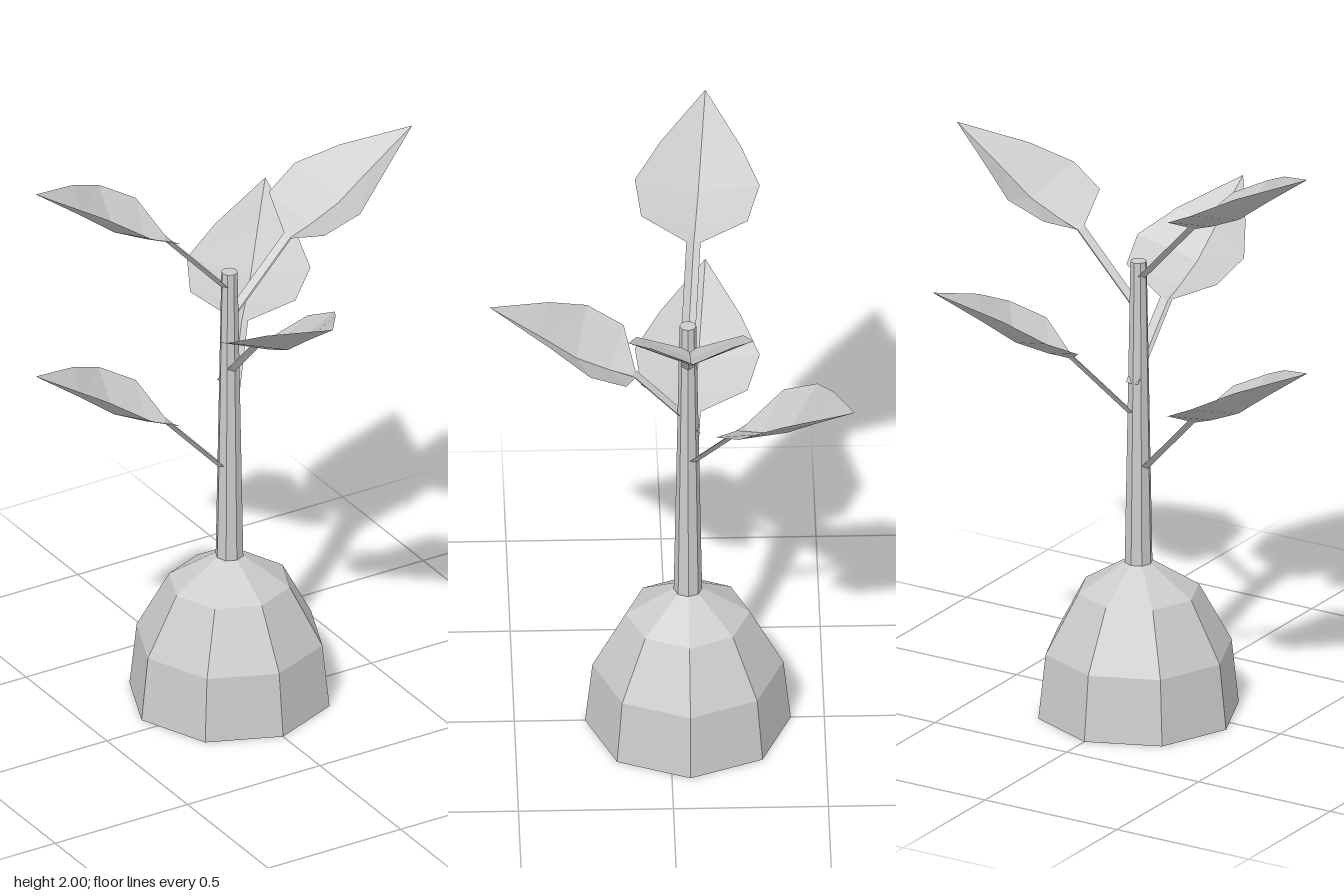
import * as THREE from 'three';

const AXIS_Z = -0.06;

function material(side = THREE.FrontSide) {
  return new THREE.MeshStandardMaterial({ color: 0xcccccc, flatShading: true, side });
}

// Folded leaf running out along +z, heights measured down from the tip.
// Each row: midrib distance, midrib height, edge distance, edge height, half width.
function leafGeometry() {
  const rows = [
    [0.02, -0.505, 0.01, -0.495, 0.023], // stalk, inside the stem
    [0.23, -0.28, 0.22, -0.27, 0.023],   // foot of the blade
    [0.30, -0.255, 0.253, -0.20, 0.172],
    [0.41, -0.205, 0.37, -0.14, 0.202],
    [0.53, -0.115, 0.495, -0.075, 0.13],
    [0.69, 0, 0.69, 0, 0],               // tip
  ];
  const positions = [];
  const index = [];
  rows.forEach(([md, my, ed, ey, w], i) => {
    positions.push(-w, ey, ed, 0, my, md, w, ey, ed);
    if (i === rows.length - 1) return;
    for (let k = 0; k < 2; k++) {
      const a = i * 3 + k, b = a + 1, c = a + 3, d = a + 4;
      if (i === rows.length - 2) {
        index.push(a, 3 * (i + 1) + 1, b); // close to a single point
      } else if (k === 0) {
        index.push(a, c, d, a, d, b);
      } else {
        index.push(a, c, b, b, c, d);
      }
    }
  });
  const geometry = new THREE.BufferGeometry();
  geometry.setAttribute('position', new THREE.Float32BufferAttribute(positions, 3));
  geometry.setIndex(index);
  geometry.computeVertexNormals();
  return geometry;
}

export function createModel() {
  const model = new THREE.Group();
  model.name = 'sapling';

  // Faceted mound of soil
  const profile = [[0, 0], [0.332, 0], [0.308, 0.22], [0.2, 0.42], [0.05, 0.515], [0, 0.515]];
  const mound = new THREE.Mesh(
    new THREE.LatheGeometry(profile.map(([r, y]) => new THREE.Vector2(r, y)), 8),
    material()
  );
  mound.name = 'mound';
  mound.position.z = AXIS_Z;
  model.add(mound);

  // Tapered stem
  const stem = new THREE.Mesh(new THREE.CylinderGeometry(0.027, 0.046, 1.05, 8), material());
  stem.name = 'stem';
  stem.position.set(0, 1.03, AXIS_Z);
  model.add(stem);

  // Leaves: tip height, direction in x and z, shift along that direction
  const geometry = leafGeometry();
  const leafMaterial = material(THREE.DoubleSide);
  const leaves = [
    ['lowerRightLeaf', 1.33, -0.69, -0.075, 0],
    ['backLeaf', 1.525, 0.455, -0.525, 0.005],
    ['frontLeaf', 1.64, 0, 1, -0.05],
    ['leftLeaf', 1.895, 1, 0, 0],
    ['upperRightLeaf', 2, -0.69, -0.075, 0],
  ];
  for (const [name, tipY, dx, dz, shift] of leaves) {
    const leaf = new THREE.Mesh(geometry, leafMaterial);
    const angle = Math.atan2(dx, dz);
    leaf.name = name;
    leaf.rotation.y = angle;
    leaf.position.set(Math.sin(angle) * shift, tipY, AXIS_Z + Math.cos(angle) * shift);
    model.add(leaf);
  }

  return model;
}
